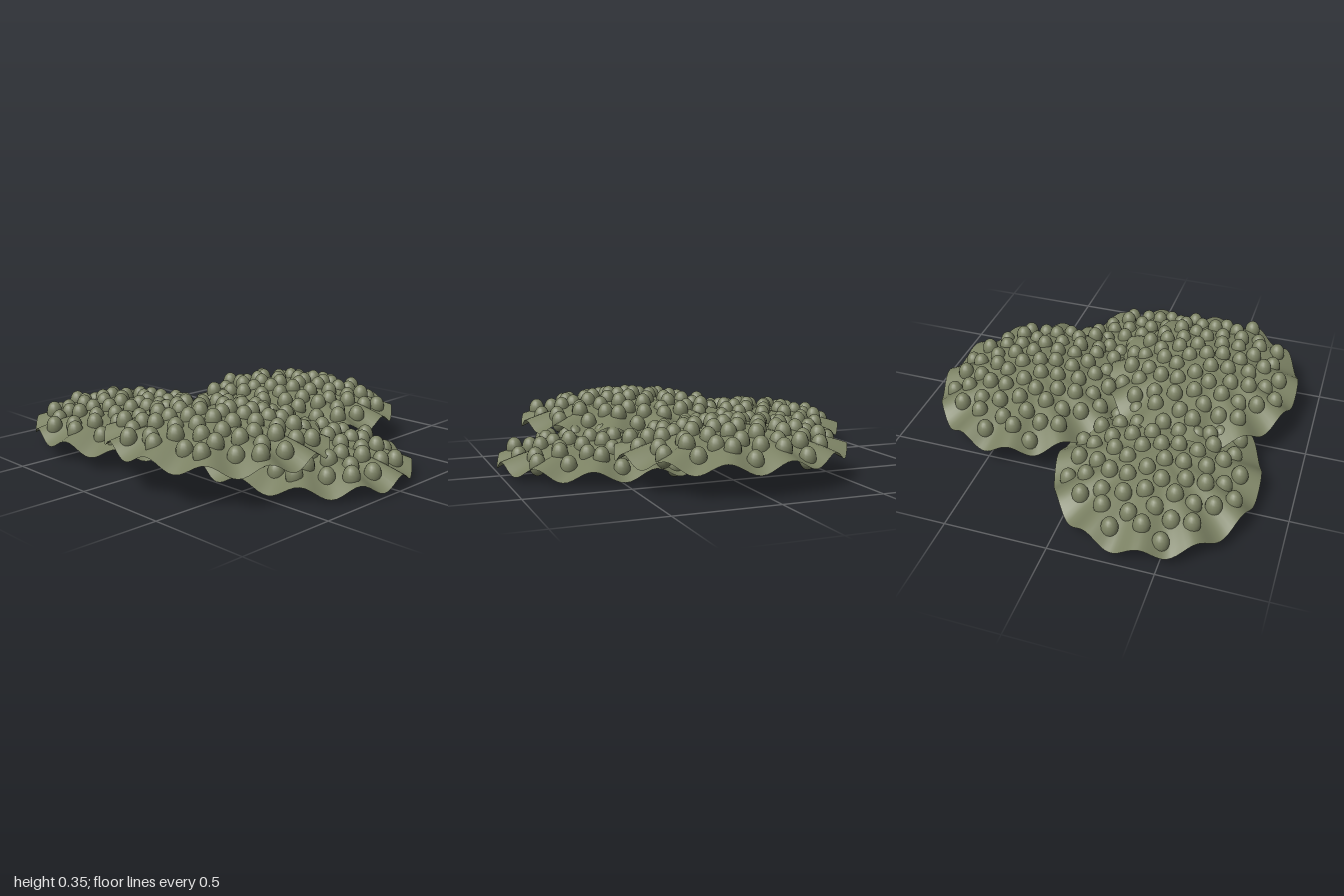
import * as THREE from 'three';
import { mergeGeometries } from 'three/addons/utils/BufferGeometryUtils.js';

const RX = 0.565, RZ = 0.485;           // plate radii
const DOME = 0.117, RIPPLE = 0.027;     // dome rise, rim ripple height
const RIPPLES = 12, BUMPS = 65;

// Height of a plate at a point of the unit disc
function plateHeight(u, v) {
  const r2 = u * u + v * v;
  return DOME * (1 - r2) - RIPPLE * r2 * Math.sin(RIPPLES * Math.atan2(v, u));
}

// Thin domed plate with a rippled rim
function makePlateGeometry() {
  const geo = new THREE.RingGeometry(0.001, 1, 144, 16);
  geo.rotateX(-Math.PI / 2);
  const p = geo.attributes.position;
  for (let i = 0; i < p.count; i++) {
    const u = p.getX(i), v = p.getZ(i);
    p.setXYZ(i, u * RX, plateHeight(u, v), v * RZ);
  }
  geo.computeVertexNormals();
  return geo;
}

// Egg-shaped bumps set in a sunflower spiral, poking through both sides
function makeBumpsGeometry() {
  const golden = Math.PI * (3 - Math.sqrt(5));
  const bumps = [];
  for (let i = 0; i < BUMPS; i++) {
    const r = 0.88 * Math.sqrt((i + 0.5) / BUMPS);
    const u = r * Math.cos(i * golden), v = r * Math.sin(i * golden);
    const bump = new THREE.SphereGeometry(0.04, 16, 12);
    bump.scale(1, 1.35, 1);
    bump.translate(u * RX, plateHeight(u, v), v * RZ);
    bumps.push(bump);
  }
  return mergeGeometries(bumps);
}

export function createModel() {
  const model = new THREE.Group();
  model.name = 'bumpyPlateCluster';
  const material = new THREE.MeshStandardMaterial({ color: 0x7b8163, side: THREE.DoubleSide });
  const plateGeo = makePlateGeometry();
  const bumpsGeo = makeBumpsGeometry();

  // Four overlapping plates, lowest to highest: name, x, rim height, z
  const plates = [
    ['leftPlate', 0.435, 0.042, 0.045],
    ['rightPlate', -0.435, 0.088, 0.355],
    ['backPlate', -0.025, 0.132, -0.42],
    ['frontPlate', 0.235, 0.178, 0.41],
  ];
  for (const [name, x, y, z] of plates) {
    const group = new THREE.Group();
    group.name = name;
    group.position.set(x, y, z);
    const plate = new THREE.Mesh(plateGeo, material);
    plate.name = 'rippledPlate';
    const bumps = new THREE.Mesh(bumpsGeo, material);
    bumps.name = 'bumps';
    group.add(plate, bumps);
    model.add(group);
  }
  return model;
}
